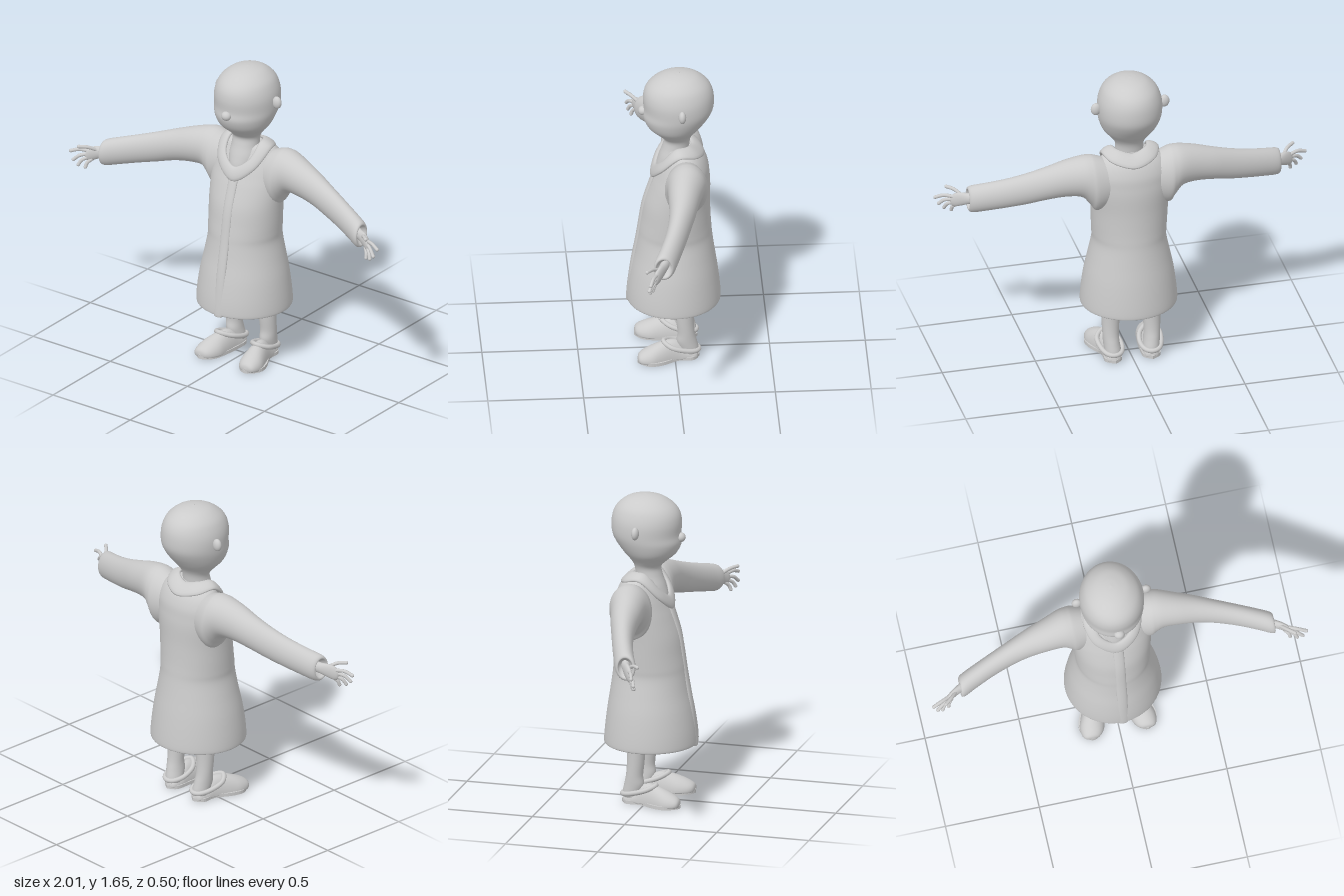
import * as THREE from 'three';

const material = new THREE.MeshStandardMaterial({ color: 0xcccccc, side: THREE.DoubleSide });
const V = (x, y, z) => new THREE.Vector3(x, y, z);

function part(name, geometry) {
  const mesh = new THREE.Mesh(geometry, material);
  mesh.name = name;
  return mesh;
}

// Skin a list of closed rings; wrapY also joins the last ring to the first.
function skin(rings, joined = false) {
  const n = rings[0].length, m = rings.length, index = [];
  for (let i = 0; i < (joined ? m : m - 1); i++) {
    for (let j = 0; j < n; j++) {
      const k = (j + 1) % n, r = (i + 1) % m;
      index.push(i * n + j, r * n + j, i * n + k, r * n + j, r * n + k, i * n + k);
    }
  }
  const g = new THREE.BufferGeometry().setFromPoints(rings.flat());
  g.setIndex(index);
  g.computeVertexNormals();
  return g;
}

// Smooth a table of cross-sections with two splines.
function smooth(rows, steps) {
  const a = new THREE.CatmullRomCurve3(rows.map(r => V(r[0], r[1], r[2])));
  const b = new THREE.CatmullRomCurve3(rows.map(r => V(r[3], r[4], 0)), false, 'catmullrom', 0.5);
  a.curveType = 'catmullrom';
  const count = (rows.length - 1) * steps;
  return Array.from({ length: count + 1 }, (_, i) => {
    const p = a.getPoint(i / count), q = b.getPoint(i / count);
    return [p.x, p.y, p.z, Math.max(q.x, 0.0005), Math.max(q.y, 0.0005)];
  });
}

// Elliptical loft. Rows: y:[y,x,z,rx,rz]  x:[x,y,z,ry,rz]  z:[z,x,y,rx,ry]
function loft(axis, rows, n = 40, steps = 5, floor = -1) {
  return skin(smooth(rows, steps).map(([t, a, b, ra, rb]) =>
    Array.from({ length: n }, (_, j) => {
      const c = Math.cos(j / n * Math.PI * 2), s = Math.sin(j / n * Math.PI * 2);
      if (axis === 'y') return V(a + ra * c, t, b + rb * s);
      if (axis === 'x') return V(t, a + ra * s, b + rb * c);
      return V(a + ra * c, Math.max(b + rb * s, floor), t);
    })));
}

function ball(x, y, z, rx, ry, rz) {
  return new THREE.SphereGeometry(1, 24, 16).scale(rx, ry, rz).translate(x, y, z);
}

function tube(points, r, closed = false) {
  const curve = new THREE.CatmullRomCurve3(points.map(p => V(...p)), closed);
  return new THREE.TubeGeometry(curve, closed ? 48 : 12, r, 10, closed);
}

function mirrored(mesh, name) {
  const g = mesh.geometry.clone().scale(-1, 1, 1);
  const a = g.index.array;
  for (let i = 0; i < a.length; i += 3) [a[i], a[i + 1]] = [a[i + 1], a[i]];
  return part(name, g);
}

// Flat band swept between an inner and an outer loop around the neck.
function collarGeometry() {
  const loop = half => new THREE.CatmullRomCurve3([
    ...half, ...half.slice(1, -1).reverse().map(([x, y, z]) => [-x, y, z])
  ].map(p => V(...p)), true);
  const inner = loop([[0, 1.228, -0.09], [0.075, 1.245, -0.06], [0.09, 1.24, -0.005], [0.075, 1.165, 0.06], [0, 1.115, 0.09]]);
  const outer = loop([[0, 1.17, -0.16], [0.115, 1.195, -0.115], [0.155, 1.215, -0.025], [0.115, 1.115, 0.075], [0.005, 1.04, 0.118]]);
  const rings = [];
  for (let i = 0; i < 64; i++) {
    const a = inner.getPoint(i / 64), b = outer.getPoint(i / 64);
    const across = b.clone().sub(a).multiplyScalar(0.5);
    const normal = inner.getTangent(i / 64).cross(across).normalize();
    const mid = a.add(b).multiplyScalar(0.5);
    rings.push(Array.from({ length: 14 }, (_, j) => {
      const t = j / 14 * Math.PI * 2;
      return mid.clone().addScaledVector(across, Math.cos(t)).addScaledVector(normal, -0.014 * Math.sin(t));
    }));
  }
  return skin(rings, true);
}

function soleGeometry() {
  const outline = new THREE.Shape();
  outline.setFromPoints(new THREE.SplineCurve([[0.1, 0.13], [0.148, 0.095], [0.15, 0.02], [0.195, -0.07], [0.203, -0.14],
    [0.15, -0.198], [0.085, -0.16], [0.062, -0.07], [0.055, 0.02], [0.058, 0.095], [0.1, 0.13]]
    .map(p => new THREE.Vector2(...p))).getPoints(50));
  const g = new THREE.ExtrudeGeometry(outline, { depth: 0.018, bevelEnabled: false });
  g.rotateX(-Math.PI / 2);
  g.setIndex([...Array(g.attributes.position.count).keys()]);
  return g;
}

export function createModel() {
  const model = new THREE.Group();
  model.name = 'robedFigure';

  // Head and neck as one skin, with a flat face
  const head = loft('y', [
    [1.06, 0, 0, 0.03, 0.06], [1.1, 0, 0.005, 0.07, 0.085], [1.16, 0, 0, 0.082, 0.078], [1.22, 0, -0.012, 0.075, 0.07],
    [1.265, 0, -0.018, 0.077, 0.07], [1.3, 0, -0.01, 0.1, 0.095], [1.345, 0, -0.004, 0.138, 0.139], [1.4, 0, -0.012, 0.16, 0.172],
    [1.45, 0, -0.025, 0.168, 0.182], [1.51, 0, -0.025, 0.168, 0.185], [1.56, 0, -0.025, 0.155, 0.175],
    [1.6, 0, -0.027, 0.132, 0.148], [1.634, 0, -0.03, 0.09, 0.1], [1.65, 0, -0.03, 0.042, 0.048], [1.655, 0, -0.03, 0.0005, 0.0005]
  ], 48);
  model.add(part('head', head));
  model.add(part('nose', ball(0, 1.432, 0.16, 0.028, 0.025, 0.025)));

  // Long robe with a turned hem, hollow inside
  model.add(part('robe', loft('y', [
    [0.9, 0, -0.015, 0.18, 0.155], [0.6, 0, -0.005, 0.19, 0.18], [0.34, 0, 0, 0.235, 0.228], [0.315, 0, 0, 0.243, 0.235],
    [0.31, 0, 0, 0.25, 0.241], [0.325, 0, 0, 0.255, 0.246], [0.4, 0, 0, 0.249, 0.24], [0.5, 0, -0.002, 0.235, 0.226],
    [0.6, 0, -0.005, 0.214, 0.208], [0.69, 0, -0.006, 0.196, 0.195], [0.74, 0, -0.007, 0.197, 0.19], [0.8, 0, -0.01, 0.2, 0.183],
    [0.9, 0, -0.017, 0.205, 0.173], [1.0, 0, -0.034, 0.213, 0.157], [1.06, 0, -0.044, 0.213, 0.143],
    [1.12, 0, -0.052, 0.205, 0.127], [1.18, 0, -0.053, 0.175, 0.1], [1.22, 0, -0.045, 0.12, 0.068], [1.23, 0, -0.04, 0.01, 0.01]
  ], 56)));
  model.add(part('collar', collarGeometry()));
  model.add(part('frontPlacket', loft('y', [
    [0.313, 0.006, 0.238, 0.001, 0.001], [0.318, 0.006, 0.238, 0.028, 0.011], [0.5, 0.006, 0.218, 0.028, 0.012],
    [0.7, 0.006, 0.184, 0.028, 0.012], [0.88, 0.006, 0.156, 0.028, 0.012], [1.0, 0.006, 0.121, 0.028, 0.012],
    [1.07, 0.006, 0.097, 0.028, 0.012]
  ], 16)));

  const side = [];
  const add = (name, geometry) => side.push(part(name, geometry));

  // Ear
  add('Ear', ball(0.184, 1.487, -0.035, 0.027, 0.034, 0.02));

  // Sleeve, with the cuff turned inward
  add('Sleeve', loft('x', [
    [0.1, 1.06, -0.055, 0.12, 0.09], [0.19, 1.06, -0.055, 0.155, 0.112], [0.225, 1.083, -0.054, 0.139, 0.108],
    [0.27, 1.105, -0.05, 0.113, 0.098], [0.35, 1.096, -0.036, 0.1, 0.084], [0.45, 1.07, -0.02, 0.09, 0.07],
    [0.55, 1.038, 0.004, 0.085, 0.06], [0.65, 1.009, 0.034, 0.08, 0.056], [0.75, 0.982, 0.07, 0.077, 0.056],
    [0.81, 0.966, 0.094, 0.075, 0.057], [0.832, 0.962, 0.102, 0.068, 0.052], [0.836, 0.962, 0.103, 0.055, 0.042],
    [0.82, 0.965, 0.097, 0.042, 0.035], [0.78, 0.973, 0.082, 0.001, 0.001]
  ], 32));

  // Hand: wrist and palm, then thumb and fingers fanning out
  add('Palm', loft('x', [
    [0.79, 0.97, 0.09, 0.03, 0.025], [0.83, 0.963, 0.106, 0.03, 0.023], [0.87, 0.955, 0.125, 0.038, 0.02],
    [0.9, 0.944, 0.142, 0.037, 0.017], [0.916, 0.938, 0.15, 0.022, 0.011], [0.92, 0.936, 0.152, 0.001, 0.001]
  ], 20));
  const fingers = [
    ['Thumb', [0.86, 0.972, 0.125], [0.895, 0.995, 0.165], [0.93, 1.0, 0.195]],
    ['IndexFinger', [0.895, 0.962, 0.14], [0.95, 0.967, 0.165], [0.993, 0.953, 0.18]],
    ['MiddleFinger', [0.9, 0.948, 0.143], [0.945, 0.935, 0.172], [0.972, 0.91, 0.186]],
    ['RingFinger', [0.897, 0.932, 0.143], [0.932, 0.911, 0.168], [0.945, 0.886, 0.18]],
    ['LittleFinger', [0.885, 0.92, 0.138], [0.905, 0.899, 0.156], [0.91, 0.876, 0.165]]
  ];
  for (const [name, ...path] of fingers) {
    add(name, tube(path, 0.0095));
    add(name + 'Tip', ball(...path[2], 0.0095, 0.0095, 0.0095));
  }

  // Leg and heel
  add('Leg', loft('y', [
    [0.015, 0.103, -0.075, 0.035, 0.04], [0.05, 0.103, -0.075, 0.043, 0.05], [0.1, 0.108, -0.062, 0.043, 0.053],
    [0.15, 0.111, -0.059, 0.043, 0.045], [0.22, 0.11, -0.053, 0.047, 0.046], [0.32, 0.108, -0.05, 0.053, 0.05],
    [0.55, 0.105, -0.045, 0.065, 0.06]
  ], 28));

  // Slip-on shoe: domed toe, sole and heel band
  add('ShoeUpper', loft('z', [
    [0.197, 0.148, 0.022, 0.001, 0.001], [0.19, 0.147, 0.022, 0.035, 0.024], [0.165, 0.142, 0.018, 0.056, 0.047],
    [0.12, 0.135, 0.014, 0.067, 0.072], [0.07, 0.125, 0.012, 0.061, 0.091], [0.02, 0.114, 0.012, 0.052, 0.098],
    [-0.02, 0.107, 0.012, 0.047, 0.088], [-0.06, 0.103, 0.012, 0.045, 0.055], [-0.11, 0.102, 0.012, 0.035, 0.033],
    [-0.125, 0.102, 0.012, 0.001, 0.001]
  ], 28, 4, 0.008));
  add('Sole', soleGeometry());
  add('HeelBand', tube([[0.122, 0.106, 0.06], [0.165, 0.088, 0.02], [0.16, 0.062, -0.06], [0.135, 0.05, -0.112],
    [0.102, 0.047, -0.126], [0.07, 0.05, -0.112], [0.05, 0.062, -0.06], [0.066, 0.088, 0.02]], 0.013, true));

  for (const mesh of side) {
    const name = mesh.name;
    mesh.name = 'left' + name;
    model.add(mesh, mirrored(mesh, 'right' + name));
  }
  return model;
}
